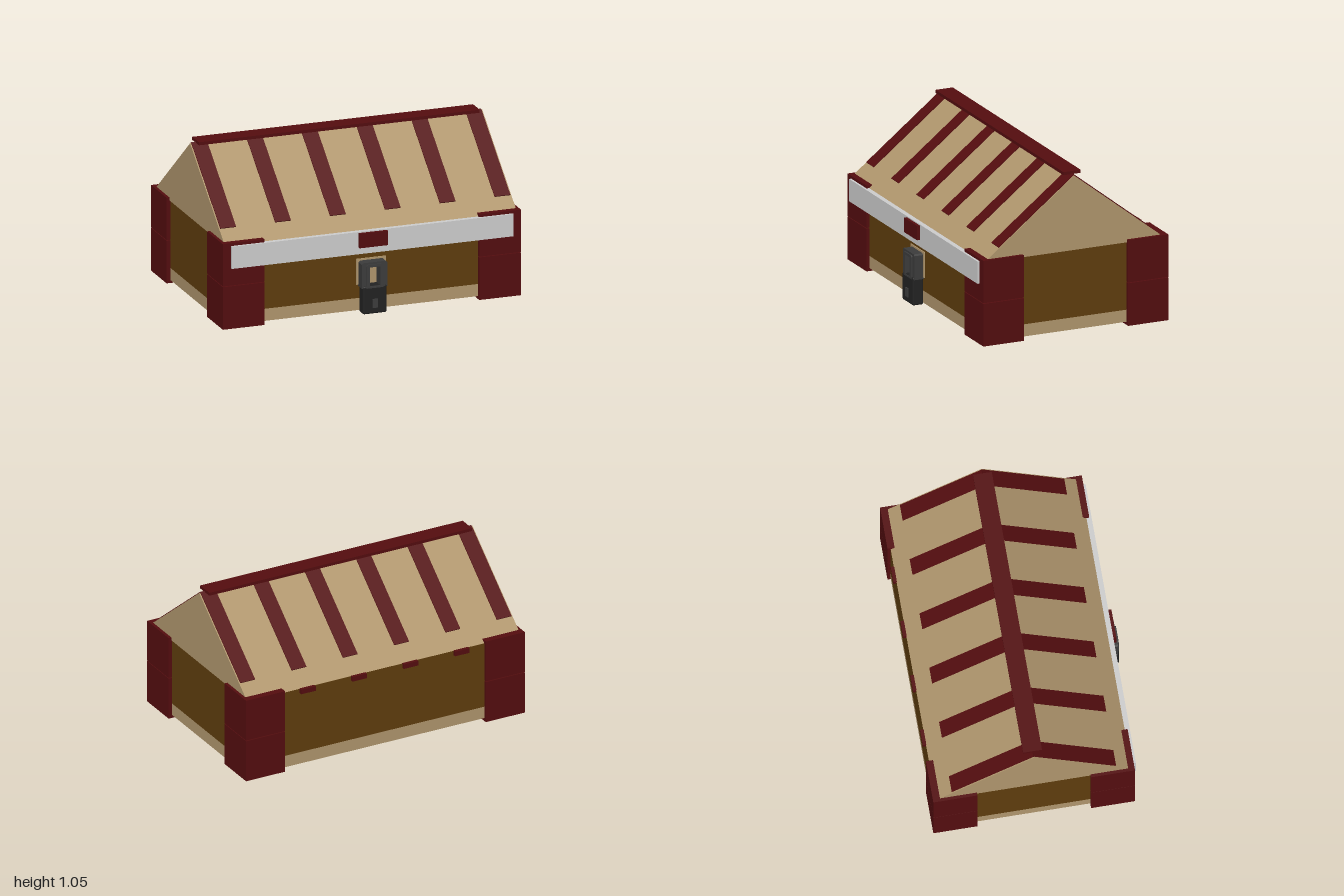
import * as THREE from 'three';
import { RoundedBoxGeometry } from 'three/addons/geometries/RoundedBoxGeometry.js';

const mat = (name, color) => new THREE.MeshStandardMaterial({ name, color });

export function createModel() {
  const tan = mat('paleWood', 0xb0966d);
  const brown = mat('darkWood', 0x5f3d0d);
  const red = mat('redTrim', 0x540d0f);
  const silver = mat('silver', 0xcdcdcd);
  const steel = mat('darkSteel', 0x3c3c3c);
  const black = mat('blackMetal', 0x222222);

  const chest = new THREE.Group();
  chest.name = 'chest';

  const add = (name, geometry, material) => {
    const mesh = new THREE.Mesh(geometry, material);
    mesh.name = name;
    chest.add(mesh);
    return mesh;
  };
  // Box given by its minimum and maximum along each axis
  const box = (name, material, x0, x1, y0, y1, z0, z1) => {
    const mesh = add(name, new THREE.BoxGeometry(x1 - x0, y1 - y0, z1 - z0), material);
    mesh.position.set((x0 + x1) / 2, (y0 + y1) / 2, (z0 + z1) / 2);
    return mesh;
  };

  // Body: pale plinth below dark walls
  box('plinth', tan, -0.975, 0.975, 0.02, 0.1, -0.655, 0.59);
  box('walls', brown, -0.975, 0.975, 0.1, 0.545, -0.655, 0.59);

  // Gabled lid
  const ridgeZ = -0.03, ridgeY = 1.035, eaveY = 0.545, half = 0.625;
  const gable = new THREE.Shape();
  gable.moveTo(-ridgeZ - half, eaveY);
  gable.lineTo(-ridgeZ + half, eaveY);
  gable.lineTo(-ridgeZ, ridgeY);
  gable.closePath();
  const lidGeo = new THREE.ExtrudeGeometry(gable, { depth: 1.96, bevelEnabled: false });
  lidGeo.rotateY(Math.PI / 2).translate(-0.98, 0, 0);
  add('lid', lidGeo, tan);

  // Slats down both slopes and hinge tabs under the rear eave
  const angle = Math.atan2(ridgeY - eaveY, half);
  const run = 0.52, length = run / Math.cos(angle);
  const slatXs = [-0.92, -0.552, -0.184, 0.184, 0.552, 0.92];
  for (const x of slatXs) {
    for (const side of [1, -1]) {
      const slat = add('lidSlat', new THREE.BoxGeometry(0.105, 0.012, length), red);
      slat.position.set(x, ridgeY - Math.tan(angle) * run / 2, ridgeZ + side * run / 2);
      slat.rotation.x = side * angle;
    }
    if (Math.abs(x) < 0.9) box('hingeTab', red, x - 0.052, x + 0.052, 0.515, 0.547, -0.675, -0.64);
  }
  box('ridgeCap', red, -0.942, 0.942, 1.034, 1.054, ridgeZ - 0.063, ridgeZ + 0.057);

  // Corner guards in two tiers
  for (const [x0, x1] of [[-1, -0.72], [0.72, 1]]) {
    for (const [z0, z1] of [[-0.675, -0.395], [0.33, 0.61]]) {
      box('lowerCornerGuard', red, x0, x1, 0, 0.281, z0, z1);
      box('upperCornerGuard', red, x0, x1, 0.286, 0.565, z0, z1);
    }
  }

  // Front band with its catch
  box('frontBand', silver, -0.945, 0.945, 0.4, 0.547, 0.58, 0.625);
  box('catchBlock', red, -0.095, 0.095, 0.445, 0.54, 0.61, 0.645);

  // Lock: backing plate, open shackle and body
  box('lockPlate', tan, -0.1, 0.1, 0.19, 0.36, 0.588, 0.597);
  const shackle = (name, w, top, hw, holeTop, z0, z1) => {
    const s = new THREE.Shape();
    s.moveTo(-w, 0.18);
    s.lineTo(w, 0.18);
    s.lineTo(w, top - 0.01);
    s.lineTo(w - 0.01, top);
    s.lineTo(-w + 0.01, top);
    s.lineTo(-w, top - 0.01);
    s.closePath();
    const h = new THREE.Path();
    h.moveTo(-hw, 0.19);
    h.lineTo(-hw, holeTop);
    h.lineTo(hw, holeTop);
    h.lineTo(hw, 0.19);
    h.closePath();
    s.holes.push(h);
    const g = new THREE.ExtrudeGeometry(s, { depth: z1 - z0, bevelEnabled: false });
    add(name, g.translate(0, 0, z0), steel);
  };
  shackle('shackleOuter', 0.085, 0.348, 0.055, 0.33, 0.59, 0.658);
  shackle('shackleInner', 0.057, 0.335, 0.035, 0.318, 0.59, 0.667);
  const lock = add('lockBody', new RoundedBoxGeometry(0.16, 0.185, 0.075, 2, 0.012), black);
  lock.position.set(0, 0.102, 0.628);
  box('lockButton', steel, -0.018, 0.018, 0.05, 0.108, 0.65, 0.674);

  return chest;
}
